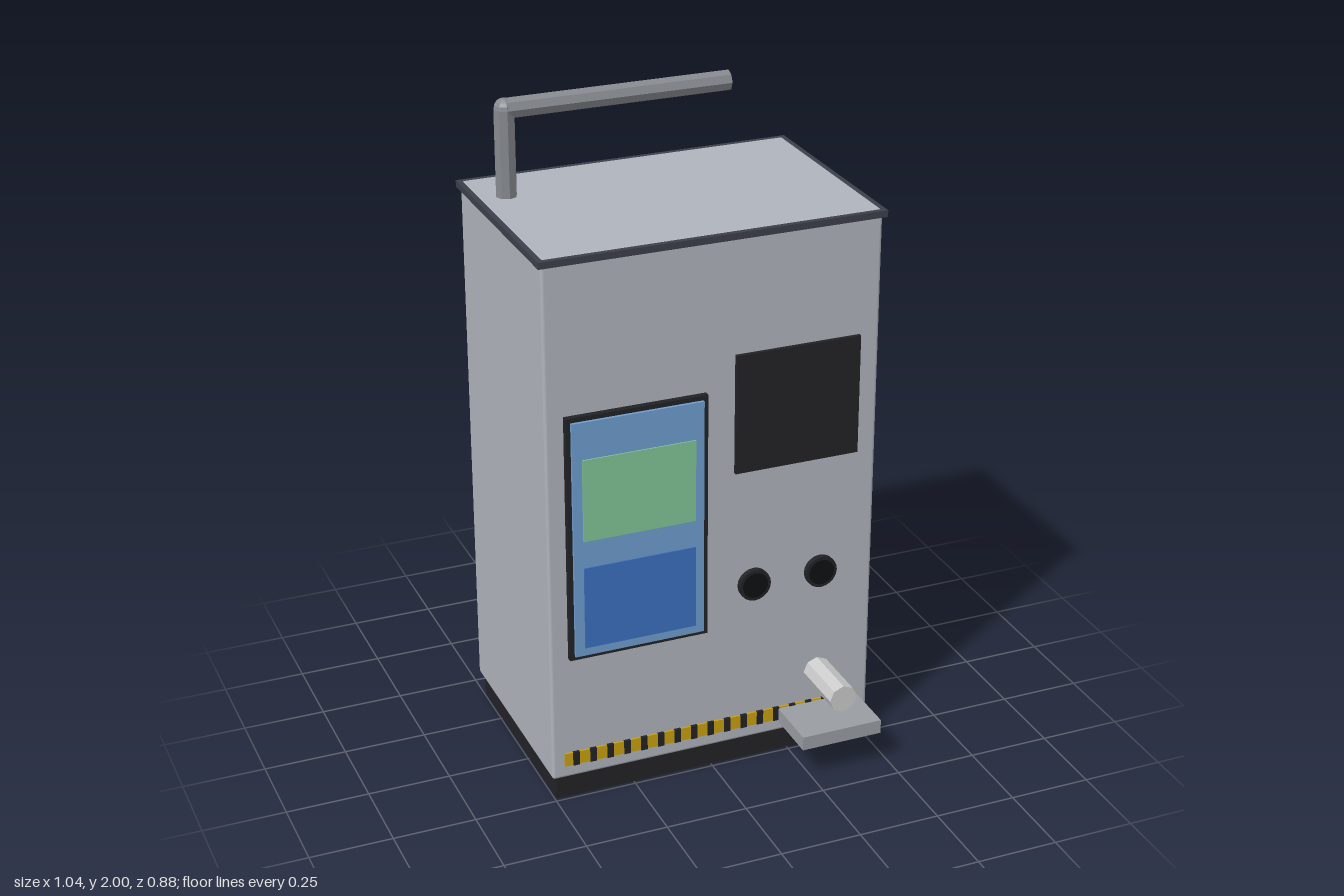
import * as THREE from 'three';
import { RoundedBoxGeometry } from 'three/addons/geometries/RoundedBoxGeometry.js';

const paint = (color, flatShading = false) => new THREE.MeshStandardMaterial({ color, flatShading });

export function createModel() {
  const model = new THREE.Group();
  const bodyGrey = paint(0xb0b4bc);
  const trim = paint(0x3c404a);
  const dark = paint(0x222327);
  const black = paint(0x0f1012);
  const steel = paint(0x85898e, true);
  const lightSteel = paint(0xcccccc, true);
  const midZ = -0.088;   // centre of the cabinet in depth
  const faceZ = 0.252;   // front face of the cabinet

  const add = (name, geometry, material, x, y, z, parent = model) => {
    const mesh = new THREE.Mesh(geometry, material);
    mesh.name = name;
    mesh.position.set(x, y, z);
    parent.add(mesh);
    return mesh;
  };
  // Box given by its x, y and z limits
  const box = (name, material, x0, x1, y0, y1, z0, z1, parent) =>
    add(name, new THREE.BoxGeometry(x1 - x0, y1 - y0, z1 - z0), material,
      (x0 + x1) / 2, (y0 + y1) / 2, (z0 + z1) / 2, parent);

  // Cabinet: plinth, rounded body and the dark rim around its top
  box('plinth', dark, -0.495, 0.495, 0, 0.08, midZ - 0.325, midZ + 0.325);
  add('body', new RoundedBoxGeometry(1.02, 1.636, 0.68, 2, 0.01), bodyGrey, 0, 0.893, midZ);
  box('topRim', trim, -0.52, 0.52, 1.69, 1.71, midZ - 0.35, midZ + 0.35);

  // Bent pipe on top
  const pipe = new THREE.Group();
  pipe.name = 'topPipe';
  model.add(pipe);
  const r = 0.031, px = -0.428, py = 1.969, pz = -0.257, endX = 0.256;
  add('post', new THREE.CylinderGeometry(r, r, py - 1.7, 8), steel, px, (py + 1.7) / 2, pz, pipe);
  add('elbow', new THREE.SphereGeometry(r, 8, 8), steel, px, py, pz, pipe);
  add('arm', new THREE.CylinderGeometry(r, r, endX - px, 8), steel, (px + endX) / 2, py, pz, pipe)
    .rotation.z = Math.PI / 2;

  // Display with two panels
  const display = new THREE.Group();
  display.name = 'display';
  model.add(display);
  box('displayFrame', dark, -0.455, -0.028, 0.477, 1.242, faceZ - 0.01, 0.27, display);
  box('screen', paint(0x6f9fcf), -0.441, -0.043, 0.491, 1.228, faceZ, 0.279, display);
  box('upperPanel', paint(0x82c596), -0.412, -0.07, 0.86, 1.114, 0.27, 0.283, display);
  box('lowerPanel', paint(0x3c70bf), -0.412, -0.07, 0.517, 0.775, 0.27, 0.283, display);

  // Speaker grille
  box('grille', dark, 0.061, 0.447, 0.974, 1.342, faceZ - 0.01, 0.264);

  // Two round sockets
  for (const x of [0.125, 0.339]) {
    add('socket', new THREE.CylinderGeometry(0.05, 0.05, 0.03, 20), dark, x, 0.602, 0.254)
      .rotation.x = Math.PI / 2;
    add('socketCentre', new THREE.CylinderGeometry(0.04, 0.04, 0.03, 20), black, x, 0.602, 0.256)
      .rotation.x = Math.PI / 2;
  }

  // Spout and the tray beneath it
  add('spout', new THREE.CylinderGeometry(0.043, 0.043, 0.187, 8), lightSteel, 0.339, 0.26, 0.3435)
    .rotation.x = Math.PI / 2;
  box('tray', paint(0x999da3), 0.211, 0.467, 0.112, 0.156, faceZ - 0.01, 0.437);

  // Hazard strip
  box('hazardStrip', paint(0xc8a010), -0.473, 0.467, 0.118, 0.16, faceZ - 0.01, 0.258);
  for (let i = 0; i < 17; i++) {
    const x = -0.438 + i * 0.0535;
    box('hazardMark', dark, x - 0.01, x + 0.01, 0.117, 0.161, faceZ - 0.01, 0.261);
  }
  return model;
}
